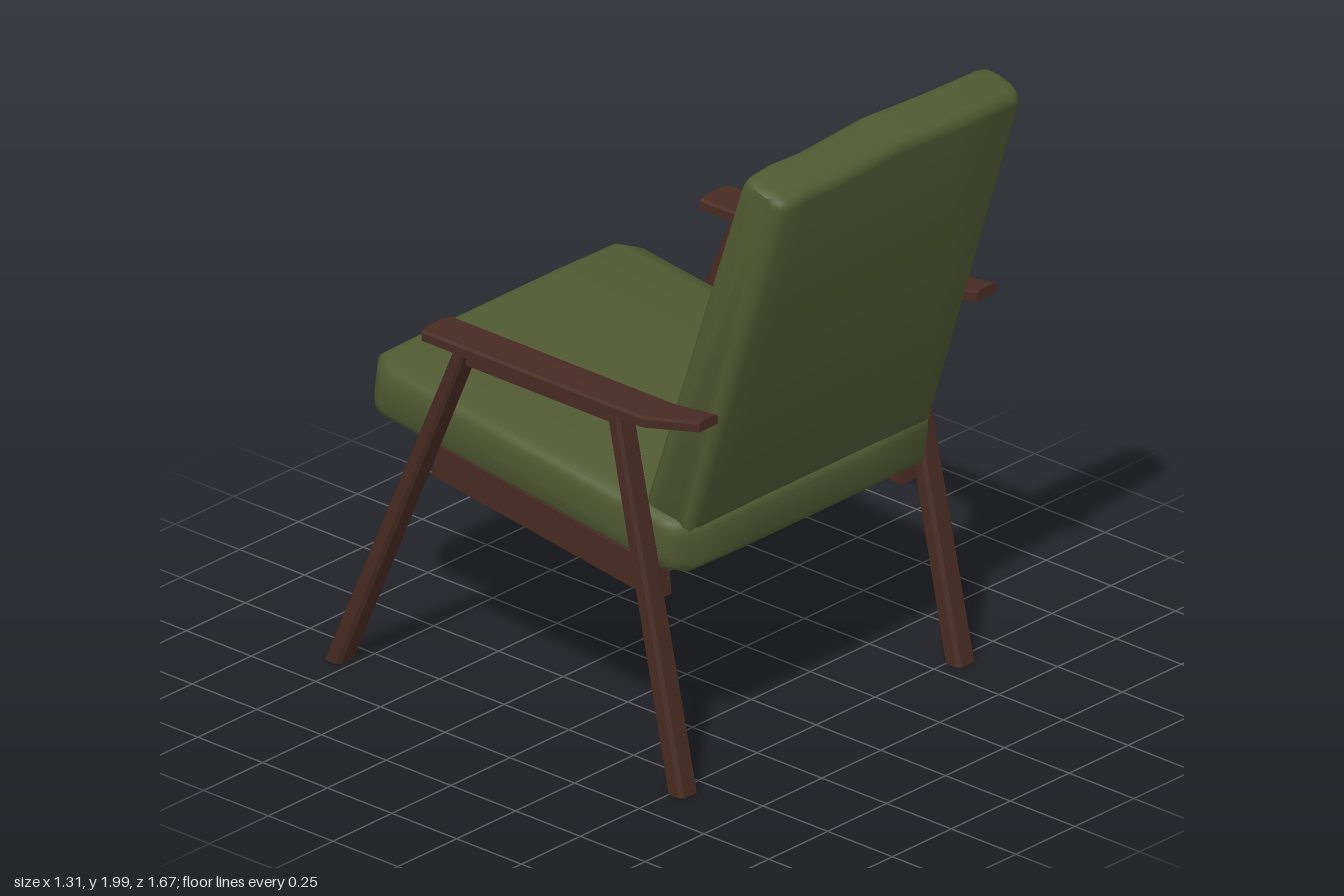
import * as THREE from 'three';
import { toCreasedNormals } from 'three/addons/utils/BufferGeometryUtils.js';

const fabric = new THREE.MeshStandardMaterial({ color: 0x505a32 });
fabric.name = 'olive fabric';
const wood = new THREE.MeshStandardMaterial({ color: 0x482b23 });
wood.name = 'dark brown wood';

// Skin a list of equal-length convex rings ([x, y, z] points) and cap both ends.
function loft(rings, crease) {
  const n = rings[0].length;
  const index = [];
  for (let i = 0; i < rings.length - 1; i++) {
    for (let j = 0; j < n; j++) {
      const a = i * n + j, b = i * n + (j + 1) % n;
      index.push(a, b, b + n, a, b + n, a + n);
    }
  }
  const last = (rings.length - 1) * n;
  for (let j = 1; j < n - 1; j++) {
    index.push(0, j + 1, j, last, last + j, last + j + 1);
  }
  // Turn the faces outward, whichever way the rings were listed
  const p = rings.flat().map((q) => new THREE.Vector3(...q));
  let volume = 0;
  for (let k = 0; k < index.length; k += 3) {
    volume += p[index[k]].dot(p[index[k + 1]].clone().cross(p[index[k + 2]]));
  }
  if (volume < 0) index.reverse();
  const geo = new THREE.BufferGeometry();
  geo.setAttribute('position', new THREE.Float32BufferAttribute(rings.flat(2), 3));
  geo.setIndex(index);
  return toCreasedNormals(geo, crease);
}

function add(parent, name, geo, material, x = 0, y = 0, z = 0) {
  const mesh = new THREE.Mesh(geo, material);
  mesh.name = name;
  mesh.position.set(x, y, z);
  parent.add(mesh);
  return mesh;
}

// Cushion lofted along x; y is its length, z its thickness.
// Stations: [x, length inset, thickness inset, shift of the top end]
function cushion(halfLength, halfBottom, halfTop, radius, stations) {
  const corners = [[1, 1], [-1, 1], [-1, -1], [1, -1]];
  const rings = stations.map(([x, insetL, insetT, shift]) => {
    const ring = [];
    corners.forEach(([su, sv], c) => {
      for (let k = 0; k <= 3; k++) {
        const a = (c + k / 3) * Math.PI / 2;
        const t = (su > 0 ? halfTop : halfBottom) - insetT;
        const u = su * (halfLength - insetL - radius) + radius * Math.cos(a);
        const v = sv * (t - radius) + radius * Math.sin(a);
        ring.push([x, u + (su > 0 ? shift : 0), v]);
      }
    });
    return ring;
  });
  return loft(rings, 0.9);
}

// Rectangle with cut corners, in the horizontal plane
function legRing(y, z, hx, hz, c) {
  return [[hx, hz - c], [hx - c, hz], [c - hx, hz], [-hx, hz - c],
    [-hx, c - hz], [c - hx, -hz], [hx - c, -hz], [hx, c - hz]]
    .map(([x, dz]) => [x, y, z + dz]);
}

export function createModel() {
  const chair = new THREE.Group();
  chair.name = 'armchair';

  // Seat cushion, rising toward its front at -z, with cut plan corners
  const seatStations = [
    [-0.552, 0.08, 0.03, 0], [-0.54, 0.05, 0.01, 0], [-0.49, 0.006, 0, 0], [-0.25, 0, 0, 0],
    [0.25, 0, 0, 0], [0.49, 0.006, 0, 0], [0.54, 0.05, 0.01, 0], [0.552, 0.08, 0.03, 0],
  ];
  const seat = add(chair, 'seatCushion', cushion(0.628, 0.088, 0.088, 0.04, seatStations),
    fabric, 0, 0.799, -0.137);
  seat.rotation.x = -1.443;

  // Leaning backrest with a gently wavy top edge
  const back = new THREE.Group();
  back.name = 'backrest';
  back.position.set(0, 1.375, 0.575);
  back.rotation.x = 0.312;
  chair.add(back);
  const backStations = [
    [-0.517, 0.025, 0.025, -0.012], [-0.505, 0.006, 0.008, -0.024], [-0.48, 0, 0, -0.026],
    [-0.4, 0, 0, -0.014], [-0.27, 0, 0, -0.022], [-0.02, 0, 0, 0], [0.25, 0, 0, -0.02],
    [0.48, 0, 0, -0.028], [0.505, 0.006, 0.008, -0.026], [0.517, 0.025, 0.025, -0.012],
  ];
  add(back, 'backCushion', cushion(0.635, 0.093, 0.083, 0.036, backStations), fabric);

  // Four buttons on the sitting side
  for (const x of [-0.25, 0.27]) {
    for (const u of [0.29, -0.25]) {
      const button = add(back, 'button', new THREE.CylinderGeometry(0.018, 0.018, 0.009, 8),
        wood, x, u, -(0.088 - 0.008 * u) - 0.002);
      button.rotation.x = Math.PI / 2;
    }
  }

  // Wooden frame, the same on both sides
  const rearLeg = loft([legRing(0, 0.52, 0.038, 0.031, 0.012),
    legRing(1.155, 0.274, 0.038, 0.023, 0.009)], 0.3);
  const frontLeg = loft([legRing(0, -0.805, 0.038, 0.031, 0.012),
    legRing(1.155, -0.305, 0.038, 0.023, 0.009)], 0.3);

  // Armrest stations: [z, underside height, half width]
  const armrest = loft([
    [-0.435, 1.15, 0.04], [-0.426, 1.15, 0.067], [0.43, 1.15, 0.067], [0.622, 1.186, 0.039],
  ].map(([z, y, w]) => [[-w, y], [w, y], [w, y + 0.025], [w - 0.008, y + 0.032],
    [0.008 - w, y + 0.032], [-w, y + 0.025]].map(([px, py]) => [px, py, z])), 0.2);

  // Sloping rail under each seat edge: [z bottom, y bottom, z top, y top]
  const seatRail = loft([[0.385, 0.55, 0.372, 0.66], [-0.485, 0.67, -0.455, 0.77]]
    .map(([z0, y0, z1, y1]) => [[-0.033, y0, z0], [0.033, y0, z0],
      [0.033, y1, z1], [-0.033, y1, z1]]), 0.2);

  for (const [side, s] of [['left', 1], ['right', -1]]) {
    const frame = new THREE.Group();
    frame.name = side + 'Frame';
    chair.add(frame);
    add(frame, 'rearLeg', rearLeg, wood, s * 0.588);
    add(frame, 'frontLeg', frontLeg, wood, s * 0.588);
    add(frame, 'armrest', armrest, wood, s * 0.59);
    add(frame, 'armRail', new THREE.BoxGeometry(0.055, 0.055, 0.55), wood, s * 0.588, 1.1275, -0.017);
    add(frame, 'seatRail', seatRail, wood, s * 0.519);
  }
  return chair;
}
